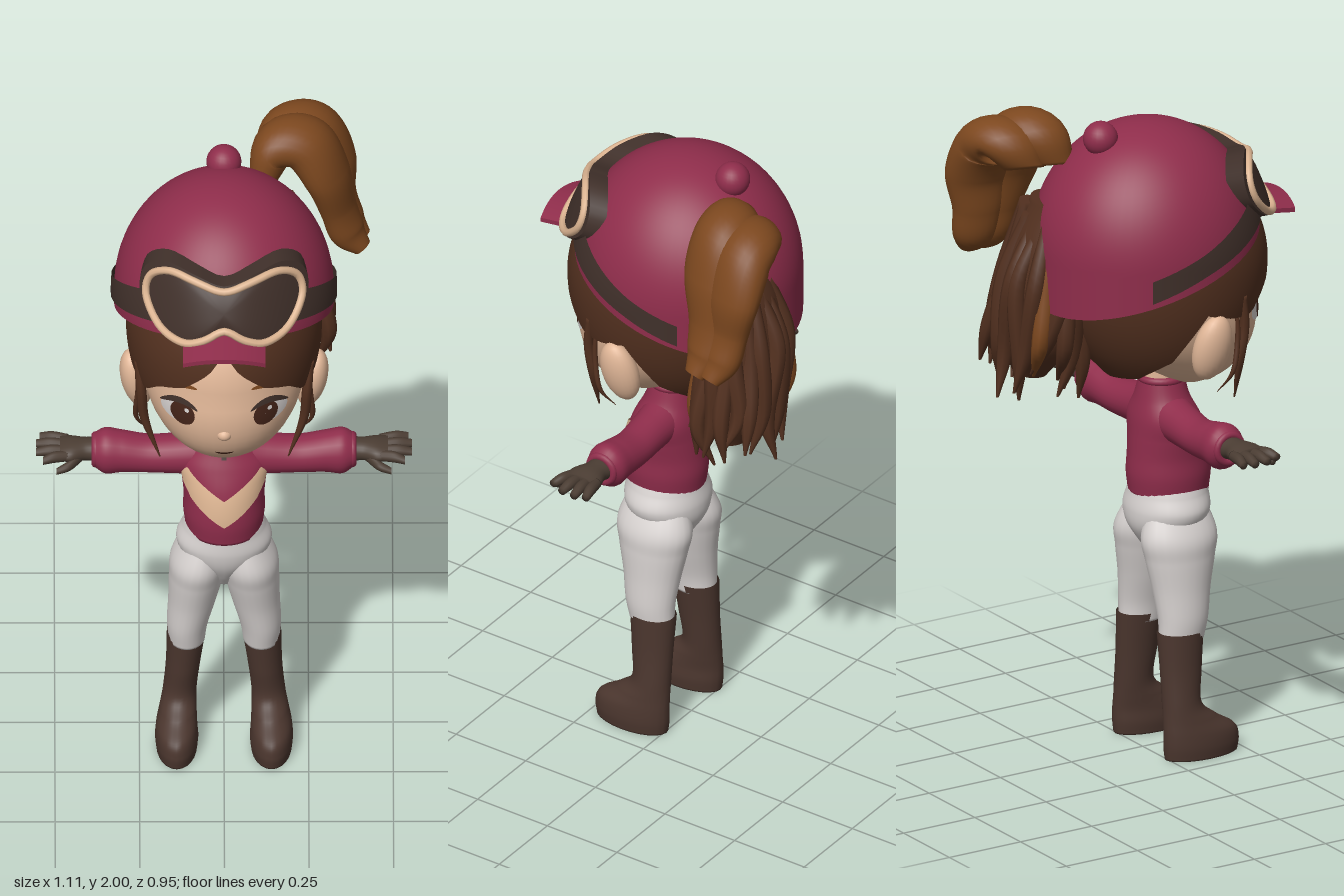
import * as THREE from 'three';
import { ParametricGeometry } from 'three/addons/geometries/ParametricGeometry.js';

const mat = (name, color) => new THREE.MeshStandardMaterial({ name, color, side: THREE.DoubleSide });
const M = {
  maroon: mat('maroon', 0x8f2d4b), skin: mat('skin', 0xe0b697), hair: mat('dark brown hair', 0x52301f),
  gold: mat('golden brown hair', 0x7d481f), boot: mat('boot leather', 0x4b362e), glove: mat('glove leather', 0x4b3d33),
  white: mat('off white', 0xd6d1cf), trim: mat('cream trim', 0xddb592), lens: mat('dark lens', 0x40302a),
  iris: mat('iris brown', 0x442419),
};
const V = (x, y, z) => new THREE.Vector3(x, y, z);
const X = V(1, 0, 0), Y = V(0, 1, 0), Z = V(0, 0, 1), TAU = Math.PI * 2;
const clamp = THREE.MathUtils.clamp;

// Smooth tapering tube through rows [x, y, z, radiusA, radiusB]; the ends are capped
function section(rows, A, B) {
  const path = new THREE.CatmullRomCurve3(rows.map(r => V(r[0], r[1], r[2])), false, 'catmullrom');
  const size = new THREE.CatmullRomCurve3(rows.map(r => V(r[3], r[4], 0)), false, 'catmullrom');
  return (u, t, k, out) => {
    const r = size.getPoint(t), b = B || path.getTangent(t).cross(A).normalize();
    return out.copy(path.getPoint(t))
      .addScaledVector(A, Math.cos(u * TAU) * r.x * k)
      .addScaledVector(b, Math.sin(u * TAU) * r.y * k);
  };
}
function loft(rows, A, B, nu = 24, nv = 50) {
  const s = section(rows, A, B);
  return new ParametricGeometry((u, v, out) =>
    s(u, clamp((v - 0.04) / 0.92, 0, 1), clamp(Math.min(v, 1 - v) / 0.04, 0.01, 1), out), nu, nv);
}
const strand = (pts, r) => loft(pts.map((p, i) => [...p, r * [0.7, 1, 0.9, 0.15][i], r * [0.7, 1, 0.9, 0.15][i]]), X, Z, 8, 25);

// Helmet surface: azimuth p (0 = front) on the tilted plane y = a + b z
const helmetR = y => (y < 1.6 ? 1 : Math.sqrt(Math.max(0, 1 - ((y - 1.6) / 0.37) ** 2)));
const helmetAt = (p, y, s, out) => out.set(Math.sin(p) * 0.325 * s * helmetR(y), y, 0.01 + Math.cos(p) * 0.345 * s * helmetR(y));
function helmetY(p, a, b, s = 1) {
  let y = a;
  for (let i = 0; i < 10; i++) y = a + b * (0.01 + Math.cos(p) * 0.345 * s * helmetR(y));
  return y;
}
const rimY = p => helmetY(p, 1.54, 0.32);

// Hair cap surface and its lower edge by azimuth in degrees
const hairR = y => Math.sqrt(Math.max(0, 1 - ((y - 1.52) / (y > 1.52 ? 0.32 : 0.4)) ** 2));
const hairAt = (p, y, s, out) => out.set(Math.sin(p) * 0.29 * s * hairR(y), y,
  0.06 + Math.cos(p) * (Math.cos(p) > 0 ? 0.33 : 0.31) * s * hairR(y));
const EDGE = [[0, 1.62], [9, 1.55], [24, 1.485], [42, 1.45], [58, 1.385], [75, 1.4], [92, 1.43], [112, 1.28], [140, 1.21], [181, 1.19]];
function hairEdge(p) {
  const d = Math.abs(p) * 180 / Math.PI;
  const i = Math.max(1, EDGE.findIndex(e => e[0] >= d));
  const [a, b] = [EDGE[i - 1], EDGE[i]];
  return a[1] + (b[1] - a[1]) * (d - a[0]) / (b[0] - a[0]);
}

// Face surface depth, and thin discs lying on it
const jaw = y => Math.max(0, (1.42 - y) / 0.29);
const faceZ = (x, y) => 0.08 + 0.07 * jaw(y) + 0.27 * Math.sqrt(Math.max(0, 1 - (x / 0.245) ** 2 - ((y - 1.42) / 0.29) ** 2));
const faceDisc = (cx, cy, rx, ry, off, bend = 0, tilt = 0) => new ParametricGeometry((u, v, out) => {
  const k = 0.01 + 0.99 * v, dx = Math.cos(u * TAU) * rx * k;
  const x = cx + dx, y = cy + Math.sin(u * TAU) * ry * k - bend * dx * dx + tilt * dx;
  out.set(x, y, faceZ(x, y) + off);
}, 24, 5);

export function createModel() {
  const model = new THREE.Group();
  const add = (name, geo, material, pos) => {
    const m = new THREE.Mesh(geo, material);
    m.name = name;
    if (pos) m.position.set(...pos);
    model.add(m);
    return m;
  };
  const ball = (name, r, material, pos, scale = [1, 1, 1]) => {
    const m = add(name, new THREE.SphereGeometry(r, 24, 16), material, pos);
    m.scale.set(...scale);
    return m;
  };

  // Head, with the jaw brought forward and the nape tucked in
  const head = new THREE.SphereGeometry(1, 40, 30).scale(0.245, 0.29, 0.27);
  const hp = head.attributes.position;
  for (let i = 0; i < hp.count; i++) {
    const y = hp.getY(i) + 1.42, z = hp.getZ(i), j = jaw(y);
    hp.setXYZ(i, hp.getX(i), y, 0.08 + 0.07 * j + (z < 0 ? z * (1 - 0.3 * j) : z));
  }
  head.computeVertexNormals();
  add('head', head, M.skin);
  ball('nose', 0.026, M.skin, [0, 1.305, 0.341], [0.9, 0.8, 1]);
  add('neck', new THREE.CylinderGeometry(0.055, 0.06, 0.16, 24), M.skin, [0, 1.17, 0.06]);
  add('mouth', faceDisc(0, 1.225, 0.028, 0.005, 0.004, -8), M.iris);
  for (const s of [1, -1]) {
    const ear = ball('ear', 1, M.skin, [s * 0.26, 1.32, 0.077], [0.045, 0.105, 0.06]);
    ear.rotation.set(0.15, 0, -s * 0.2);
    add('eyeWhite', faceDisc(s * 0.137, 1.368, 0.05, 0.036, 0.003), M.white);
    add('iris', faceDisc(s * 0.123, 1.368, 0.036, 0.039, 0.006), M.iris);
    add('eyeGlint', faceDisc(s * 0.123 + 0.012, 1.384, 0.007, 0.007, 0.008), M.white);
    add('eyelash', faceDisc(s * 0.134, 1.41, 0.056, 0.01, 0.007, 8, -s * 0.1), M.lens);
    add('eyebrow', faceDisc(s * 0.12, 1.462, 0.04, 0.007, 0.005, 5, -s * 0.2), M.gold);
  }

  // Hair cap with parted fringe
  add('hairCap', new ParametricGeometry((u, v, out) => {
    const p = (u - 0.5) * TAU, e = hairEdge(p), k = 0.005 + 0.995 * v;
    hairAt(p, 1.84 - (1.84 - e) * (1 - Math.cos(k * Math.PI / 2)), 1, out);
  }, 90, 24), M.hair);
  add('hairHem', new ParametricGeometry((u, v, out) => {
    const p = (u - 0.5) * TAU;
    hairAt(p, hairEdge(p), 1 - 0.16 * v, out);
  }, 90, 2), M.hair);
  for (const s of [1, -1]) {
    add('sideLock', strand([[s * 0.255, 1.46, 0.19], [s * 0.245, 1.36, 0.2], [s * 0.235, 1.25, 0.19], [s * 0.19, 1.12, 0.2]], 0.015), M.hair);
    add('thinLock', strand([[s * 0.25, 1.43, 0.17], [s * 0.255, 1.33, 0.17], [s * 0.26, 1.23, 0.15], [s * 0.22, 1.16, 0.12]], 0.008), M.hair);
  }

  // Riding helmet
  add('helmet', new ParametricGeometry((u, v, out) => {
    const p = (u - 0.5) * TAU, k = 0.0005 + 0.9995 * v;
    helmetAt(p, 1.97 - (1.97 - rimY(p)) * (1 - Math.cos(k * Math.PI / 2)), 1, out);
  }, 64, 32), M.maroon);
  add('helmetUnderside', new ParametricGeometry((u, v, out) => {
    const p = (u - 0.5) * TAU;
    helmetAt(p, rimY(p), 1 - 0.2 * v, out);
  }, 64, 2), M.maroon);
  ball('helmetButton', 0.052, M.maroon, [0, 1.943, -0.148]);
  const brim = new THREE.BoxGeometry(0.245, 0.014, 0.15, 16, 1, 4);
  const bp = brim.attributes.position;
  for (let i = 0; i < bp.count; i++) {
    const x = bp.getX(i), z = bp.getZ(i);
    bp.setXYZ(i, x, bp.getY(i) + 1.675 - 1.8 * x * x - 0.15 * z, z + 0.4 - 1.2 * x * x);
  }
  brim.computeVertexNormals();
  add('brim', brim, M.maroon);

  // Goggles bent around the helmet; the strap widens towards them and ends behind the ears
  add('goggleStrap', new ParametricGeometry((u, v, out) => {
    const p = (u - 0.5) * 4.1, w = 0.035 + 0.02 * Math.max(0, Math.cos(p));
    helmetAt(p, helmetY(p, 1.608 + w * (2 * v - 1), 0.4, 1.03), 1.03, out);
  }, 64, 3), M.lens);
  const half = [[0.08, 0.076], [0.158, 0.084], [0.216, 0.047], [0.231, -0.015], [0.19, -0.082], [0.12, -0.1], [0.06, -0.08]];
  const outline = new THREE.CatmullRomCurve3([[0, 0.058], ...half, [0, -0.05],
    ...half.slice().reverse().map(([x, y]) => [-x, y])].map(([x, y]) => V(x, y, 0)), true);
  const bend = (x, y, dz, out) => out.set(x, 1.763 + y, 0.362 - 0.45 * y - 2.4 * x * x + dz);
  const rimPts = Array.from({ length: 48 }, (_, i) => {
    const o = outline.getPoint(i / 48);
    return bend(o.x, o.y, 0.006, V(0, 0, 0));
  });
  add('goggleTrim', new THREE.TubeGeometry(new THREE.CatmullRomCurve3(rimPts, true), 96, 0.012, 8, true), M.trim);
  add('goggleLens', new ParametricGeometry((u, v, out) => {
    const o = outline.getPoint(u), k = 0.001 + 0.999 * v;
    bend(o.x * k, o.y * k, 0.012 * (1 - k * k), out);
  }, 64, 10), M.lens);
  add('goggleSkirt', new ParametricGeometry((u, v, out) => {
    const o = outline.getPoint(u);
    bend(o.x * (1.08 - 0.03 * v), o.y * (o.y > 0 ? 1.22 : 1.06), -0.065 * v, out);
  }, 64, 3), M.lens);
  add('goggleBack', new ParametricGeometry((u, v, out) => {
    const o = outline.getPoint(u);
    bend(o.x * (1 + 0.08 * v), o.y * (1 + (o.y > 0 ? 0.22 : 0.06) * v), 0, out);
  }, 64, 2), M.lens);

  // High ponytail: two broad overlapping lobes curling over
  const wide = V(0.3, 0, -0.95).normalize();
  for (const s of [-1, 1]) {
    const o = s * 0.046, d = s > 0 ? 0.015 : 0;
    add('ponytailLobe', loft([
      [0.13 + o * 0.2, 1.84, -0.28 - o, 0.06, 0.045], [0.17 + o * 0.2, 1.92 - d, -0.315 - o, 0.095, 0.07],
      [0.255 + o * 0.2, 1.91 - d, -0.325 - o, 0.1, 0.075], [0.315 + o * 0.2, 1.8 - d, -0.325 - o, 0.1, 0.062],
      [0.338, 1.67, -0.33 - o * 0.7, 0.078, 0.05], [0.365, 1.58, -0.33 - o * 0.6, 0.066, 0.05],
      [0.41, 1.525, -0.32 - o * 0.6, 0.034, 0.026],
    ], wide), M.gold);
  }

  // Loose dark hair hanging beneath it
  add('hairTail', loft([[0.1, 1.74, -0.24, 0.1, 0.06], [0.115, 1.6, -0.265, 0.135, 0.095], [0.13, 1.45, -0.28, 0.15, 0.105],
    [0.15, 1.3, -0.285, 0.14, 0.1], [0.18, 1.18, -0.28, 0.06, 0.045]], X, Z), M.hair);
  for (let i = 0; i < 20; i++) {
    const a = i * TAU / 20, c = Math.cos(a), d = Math.sin(a), w = Math.sin(i * 5.3), q = Math.cos(i * 3.1);
    add('tailStrand', strand([[0.11 + c * 0.1, 1.7 + w * 0.03, -0.25 + d * 0.06],
      [0.125 + c * 0.145 + q * 0.012, 1.5, -0.275 + d * 0.1 + w * 0.012],
      [0.15 + c * 0.155 - q * 0.012, 1.3 + w * 0.03, -0.28 + d * 0.11 - w * 0.012],
      [0.18 + c * 0.135 + w * 0.03, 1.17 + w * 0.045, -0.285 + d * 0.105 + q * 0.025]],
    0.028), i % 9 === 3 ? M.gold : M.hair);
  }

  // Sweater with collar, zip and chevron
  const torso = [[0, 0.8, 0.09, 0.114, 0.122], [0, 0.86, 0.09, 0.121, 0.128], [0, 0.92, 0.09, 0.12, 0.124], [0, 0.98, 0.085, 0.126, 0.115],
    [0, 1.04, 0.075, 0.13, 0.1], [0, 1.1, 0.067, 0.088, 0.08], [0, 1.16, 0.066, 0.066, 0.068]];
  add('sweater', loft(torso, X, Z, 36), M.maroon);
  add('collar', new THREE.TorusGeometry(0.06, 0.013, 10, 32).rotateX(Math.PI / 2), M.maroon, [0, 1.155, 0.066]);
  const chest = section(torso, X, Z);
  const chestPatch = (spread, low) => new ParametricGeometry((u, v, out) => {
    const p = (u - 0.5) * spread;
    chest(0.25 + p / TAU, (low(Math.abs(p), v) - 0.8) / 0.36, 1.04, out);
  }, 40, 6);
  add('chevron', chestPatch(2.4, (a, v) =>
    0.915 + 0.085 * Math.min(a, 0.95) + (v - 0.5) * 0.088 * clamp((1.3 - a) / 0.4, 0.2, 1)), M.trim);
  add('zip', chestPatch(0.14, (a, v) => 1.075 + 0.06 * v), M.lens);

  // Hips, narrowing into the crease between the legs
  add('hips', loft([[0, 0.6, 0.08, 0.03, 0.05], [0, 0.65, 0.08, 0.06, 0.088], [0, 0.7, 0.08, 0.12, 0.116], [0, 0.75, 0.083, 0.142, 0.125],
    [0, 0.8, 0.087, 0.124, 0.12], [0, 0.83, 0.09, 0.113, 0.117]], X, Z, 32), M.white);

  for (const s of [1, -1]) {
    const side = rows => rows.map(([x, ...r]) => [s * x, ...r]);
    // Sleeve, cuff and glove
    add('sleeve', loft(side([[0.05, 1.045, 0.068, 0.07, 0.068], [0.13, 1.035, 0.065, 0.062, 0.062], [0.22, 1.03, 0.06, 0.057, 0.06],
      [0.3, 1.038, 0.06, 0.064, 0.062], [0.35, 1.04, 0.06, 0.071, 0.064], [0.385, 1.043, 0.06, 0.05, 0.05]]), Y, Z), M.maroon);
    add('cuff', new THREE.TorusGeometry(0.042, 0.012, 10, 24).rotateY(Math.PI / 2), M.maroon, [s * 0.38, 1.043, 0.06]);
    add('glove', loft(side([[0.37, 1.045, 0.06, 0.036, 0.042], [0.41, 1.048, 0.063, 0.032, 0.04], [0.45, 1.05, 0.067, 0.03, 0.055],
      [0.485, 1.052, 0.065, 0.022, 0.056]]), Y, Z), M.glove);
    for (const [z0, x1, z1] of [[0.022, 0.545, 0.005], [0.05, 0.556, 0.04], [0.08, 0.555, 0.083], [0.105, 0.535, 0.127]]) {
      add('finger', loft(side([[0.46, 1.052, z0, 0.016, 0.016], [(0.47 + x1) / 2, 1.055, (z0 + z1) / 2, 0.017, 0.017],
        [x1, 1.05, z1, 0.012, 0.013]]), Y, Z, 12, 25), M.glove);
    }
    add('thumb', loft(side([[0.42, 1.04, 0.085, 0.018, 0.018], [0.455, 1.03, 0.122, 0.016, 0.017], [0.495, 1.02, 0.14, 0.01, 0.01]]), Y, Z, 12, 25), M.glove);

    // Trouser leg
    add('trouserLeg', loft(side([[0.11, 0.365, 0.065, 0.054, 0.072], [0.108, 0.43, 0.072, 0.061, 0.08], [0.094, 0.52, 0.075, 0.071, 0.093],
      [0.082, 0.61, 0.078, 0.081, 0.112], [0.073, 0.68, 0.08, 0.084, 0.123], [0.055, 0.77, 0.083, 0.055, 0.095]]), X, Z), M.white);
    // Tall boot
    add('boot', loft(side([[0.14, 0.002, 0.115, 0.06, 0.122], [0.14, 0.04, 0.115, 0.064, 0.126], [0.14, 0.08, 0.108, 0.061, 0.119],
      [0.136, 0.12, 0.078, 0.055, 0.088], [0.131, 0.17, 0.053, 0.05, 0.062], [0.121, 0.27, 0.056, 0.051, 0.066],
      [0.111, 0.39, 0.06, 0.058, 0.074]]), X, Z), M.boot);
  }
  return model;
}
